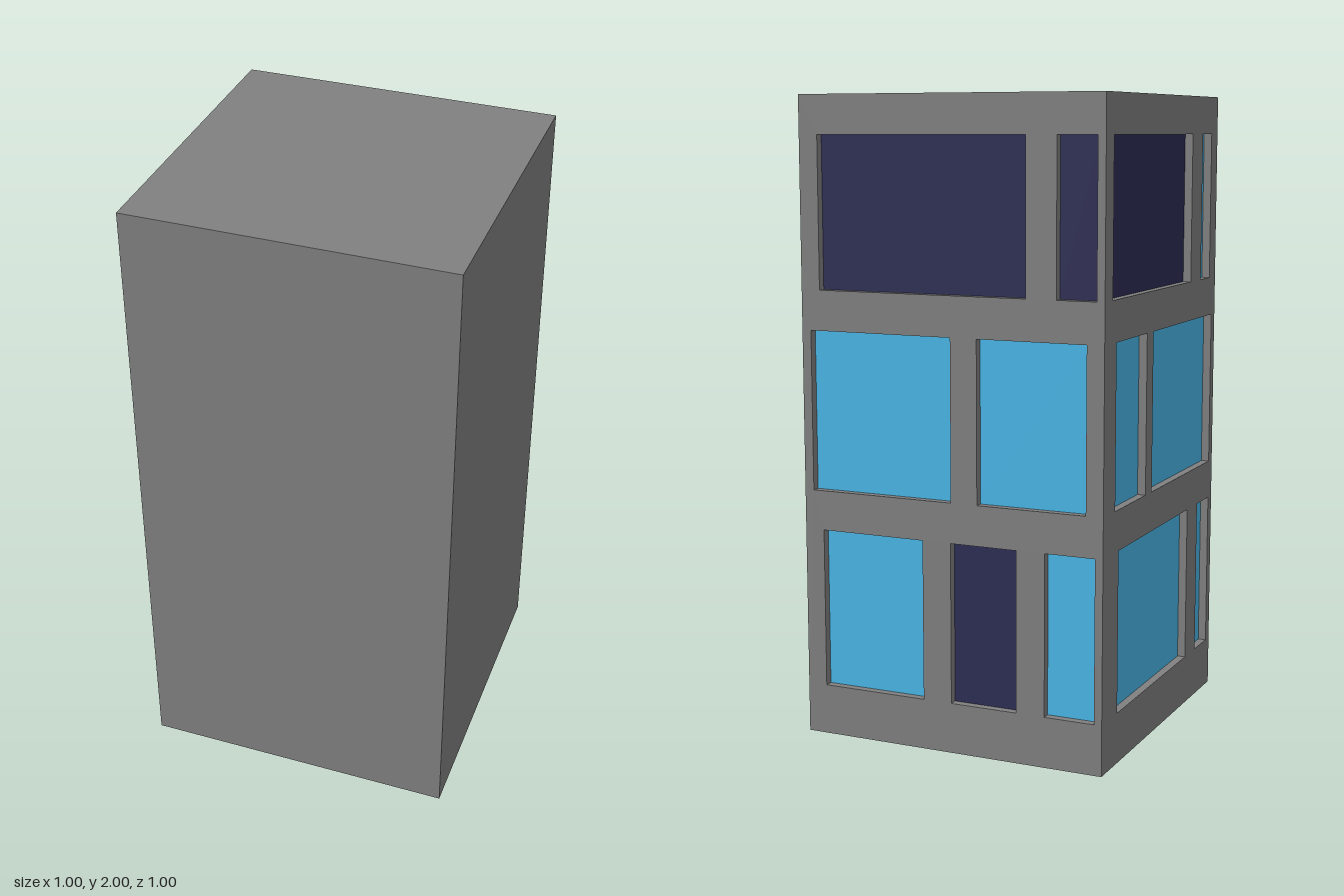
import * as THREE from 'three';

const DEPTH = 0.03;
const HEIGHT = 2;
const PANE = 0.004;

const concrete = new THREE.MeshStandardMaterial({ color: 0x808080 });
concrete.name = 'concrete';
const litGlass = new THREE.MeshStandardMaterial({ color: 0x4fc3f7 });
litGlass.name = 'blueGlass';
const darkGlass = new THREE.MeshStandardMaterial({ color: 0x2c2c54 });
darkGlass.name = 'darkGlass';

// Bottom and top of each storey's windows
const TOP = [1.41, 1.88];
const MIDDLE = [0.785, 1.285];
const GROUND = [0.158, 0.66];

// Windows: storey, start and end along the wall, glass
const backWindows = [
  [TOP, 0.063, 0.753, darkGlass],
  [TOP, 0.85, 0.975, darkGlass],
  [MIDDLE, 0.03, 0.507, litGlass],
  [MIDDLE, 0.594, 0.945, litGlass],
  [GROUND, 0.064, 0.41, litGlass],
  [GROUND, 0.505, 0.723, darkGlass],
  [GROUND, 0.815, 0.975, litGlass],
];
const sideWindows = [
  [TOP, 0.062, 0.75, darkGlass],
  [TOP, 0.85, 0.94, litGlass],
  [MIDDLE, 0.094, 0.35, litGlass],
  [MIDDLE, 0.406, 0.967, litGlass],
  [GROUND, 0.125, 0.75, litGlass],
  [GROUND, 0.85, 0.967, litGlass],
];

function rectangle(target, x0, x1, y0, y1) {
  target.moveTo(x0, y0);
  target.lineTo(x1, y0);
  target.lineTo(x1, y1);
  target.lineTo(x0, y1);
  target.closePath();
  return target;
}

// A wall with openings and recessed panes, facing +z before it is turned
function makeWall(name, windows, start, turn) {
  const wall = new THREE.Group();
  wall.name = name;
  const shape = rectangle(new THREE.Shape(), start - 0.5, 0.5, 0, HEIGHT);
  windows.forEach(([[y0, y1], u0, u1, glass], i) => {
    shape.holes.push(rectangle(new THREE.Path(), u0 - 0.5, u1 - 0.5, y0, y1));
    const pane = new THREE.Mesh(new THREE.BoxGeometry(u1 - u0, y1 - y0, PANE), glass);
    pane.position.set((u0 + u1) / 2 - 0.5, (y0 + y1) / 2, 0.5 - DEPTH + PANE / 2);
    pane.name = `windowPane${i + 1}`;
    wall.add(pane);
  });
  const panel = new THREE.Mesh(
    new THREE.ExtrudeGeometry(shape, { depth: DEPTH, bevelEnabled: false }), concrete);
  panel.position.z = 0.5 - DEPTH;
  panel.name = 'windowFrame';
  wall.add(panel);
  wall.rotation.y = turn;
  return wall;
}

export function createModel() {
  const model = new THREE.Group();
  model.name = 'building';

  // Solid block behind the two window walls
  const core = new THREE.Mesh(new THREE.BoxGeometry(1 - DEPTH, HEIGHT, 1 - DEPTH), concrete);
  core.position.set(DEPTH / 2, HEIGHT / 2, DEPTH / 2);
  core.name = 'buildingBlock';
  model.add(core);

  // The side wall stops short where the back wall covers the corner
  model.add(makeWall('backWall', backWindows, 0, Math.PI));
  model.add(makeWall('sideWall', sideWindows, DEPTH, -Math.PI / 2));
  return model;
}
